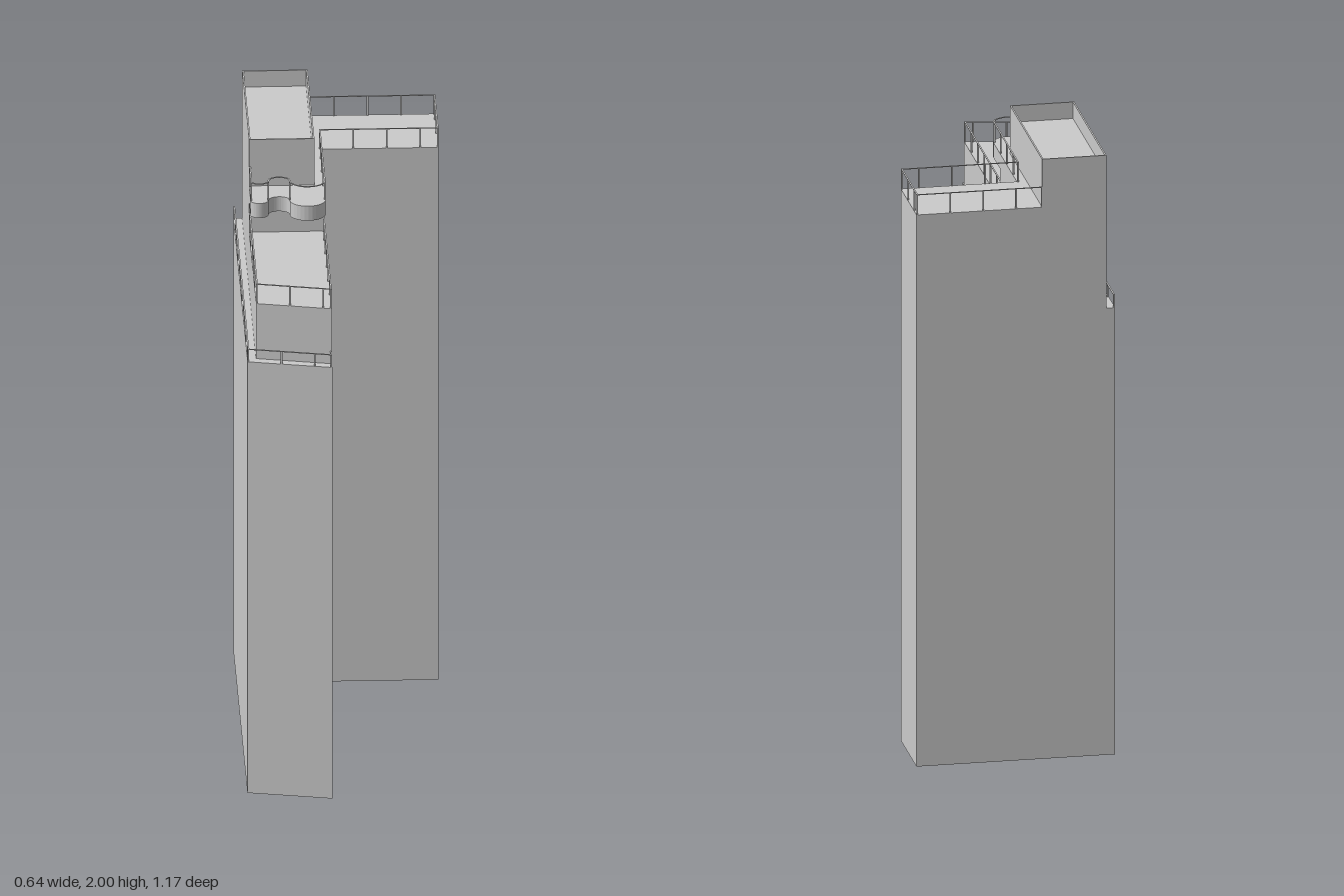
import * as THREE from 'three';

const material = new THREE.MeshStandardMaterial({ color: 0xcccccc, flatShading: true });
const LEFT = -0.322, SETBACK = -0.294, INNER = -0.056, RIGHT = 0.317;
const BACK = -0.586, WING = -0.324, STEP = -0.048, WAVE = 0.066;
const INSET = 0.003, SPACING = 0.106;

function addMesh(parent, geometry, name) {
  const mesh = new THREE.Mesh(geometry, material);
  mesh.name = name;
  parent.add(mesh);
  return mesh;
}

// Upright prism over a plan outline given as [x, z] points
function prism(parent, name, plan, y0, y1, hole) {
  const toPoints = (list) => list.map(([x, z]) => new THREE.Vector2(x, -z));
  const shape = new THREE.Shape(toPoints(plan));
  if (hole) shape.holes.push(new THREE.Path(toPoints(hole)));
  const geometry = new THREE.ExtrudeGeometry(shape, { depth: y1 - y0, bevelEnabled: false });
  geometry.rotateX(-Math.PI / 2).translate(0, y0, 0);
  return addMesh(parent, geometry, name);
}

const rect = (x0, x1, z0, z1) => [[x0, z0], [x0, z1], [x1, z1], [x1, z0]];

// L-shaped plan; the long wing ends in a slanted front
const lPlan = (left, frontLeft, frontRight) => [
  [left, BACK], [left, frontLeft], [INNER, frontRight], [INNER, WING], [RIGHT, WING], [RIGHT, BACK],
];

function addPost(parent, [x, z], y, height) {
  const post = addMesh(parent, new THREE.BoxGeometry(0.005, height, 0.005), 'railingPost');
  post.position.set(x, y + height / 2, z);
}

function addHandrail(parent, [ax, az], [bx, bz], y) {
  const length = Math.hypot(bx - ax, bz - az);
  const bar = addMesh(parent, new THREE.BoxGeometry(length + 0.004, 0.002, 0.005), 'handrail');
  bar.position.set((ax + bx) / 2, y, (az + bz) / 2);
  bar.rotation.y = -Math.atan2(bz - az, bx - ax);
}

// Handrail along a path, with posts evenly spaced from each corner
function railing(parent, name, path, y, height) {
  const group = new THREE.Group();
  group.name = name;
  for (let i = 0; i < path.length - 1; i++) {
    const a = path[i], b = path[i + 1];
    const length = Math.hypot(b[0] - a[0], b[1] - a[1]);
    addHandrail(group, a, b, y + height - 0.001);
    for (let d = 0; d < length - 0.01; d += SPACING) {
      const t = d / length;
      addPost(group, [a[0] + (b[0] - a[0]) * t, a[1] + (b[1] - a[1]) * t], y, height);
    }
  }
  addPost(group, path[path.length - 1], y, height);
  parent.add(group);
  return group;
}

// Wavy canopy edge: three half-ellipses, [start x, end x, bulge in z]
function wavePoints() {
  const lobes = [[SETBACK, -0.237, 0.024], [-0.237, -0.17, -0.027], [-0.17, INNER, 0.051]];
  const points = [[SETBACK, WAVE]];
  for (const [x0, x1, bulge] of lobes) {
    for (let i = 1; i <= 14; i++) {
      const angle = (Math.PI * i) / 14;
      points.push([(x0 + x1) / 2 - ((x1 - x0) / 2) * Math.cos(angle), WAVE + bulge * Math.sin(angle)]);
    }
  }
  return points;
}

export function createModel() {
  const model = new THREE.Group();
  model.name = 'towerBlock';

  // Stacked tower tiers, each set back from the one below
  prism(model, 'mainTower', lPlan(LEFT, 0.531, 0.586), 0, 1.49);
  prism(model, 'setbackTier', lPlan(SETBACK, 0.507, 0.557), 1.49, 1.68);
  prism(model, 'upperTier', lPlan(SETBACK, STEP, STEP), 1.68, 1.84);

  // Penthouse with a sunken roof behind a thin parapet
  const px = -0.087, t = 0.005;
  prism(model, 'penthouse', rect(SETBACK, px, BACK, STEP), 1.84, 1.945);
  prism(model, 'parapet', rect(SETBACK, px, BACK, STEP), 1.945, 2,
    rect(SETBACK + t, px - t, BACK + t, STEP - t));

  // Wavy canopy over the terrace
  const wave = wavePoints();
  prism(model, 'wavyCanopy', [[SETBACK, STEP], ...wave, [INNER, STEP]], 1.79, 1.84);

  // Terrace railings
  const l1 = LEFT + INSET, l2 = SETBACK + INSET, inner = INNER - INSET;
  railing(model, 'lowerRailing',
    [[l1, BACK + INSET], [l1, 0.528], [inner, 0.582], [inner, 0.557]], 1.49, 0.043);
  railing(model, 'terraceRailing',
    [[l2, STEP], [l2, 0.504], [inner, 0.553], [inner, STEP]], 1.68, 0.067);

  // Roof railing around the side wing and the canopy
  const wing = WING - INSET, right = RIGHT - INSET, back = BACK + INSET;
  const roof = railing(model, 'roofRailing',
    [[inner, WAVE], [inner, wing], [right, wing], [right, back], [px, back]], 1.84, 0.067);
  railing(model, 'canopySideRailing', [[l2, STEP], [l2, WAVE]], 1.84, 0.067);
  const edge = wave.map(([x, z]) => [THREE.MathUtils.clamp(x, l2, inner), z - INSET]);
  for (let i = 0; i < edge.length - 1; i++) addHandrail(roof, edge[i], edge[i + 1], 1.906);
  for (const i of [14, 28]) addPost(roof, edge[i], 1.84, 0.067);

  return model;
}
